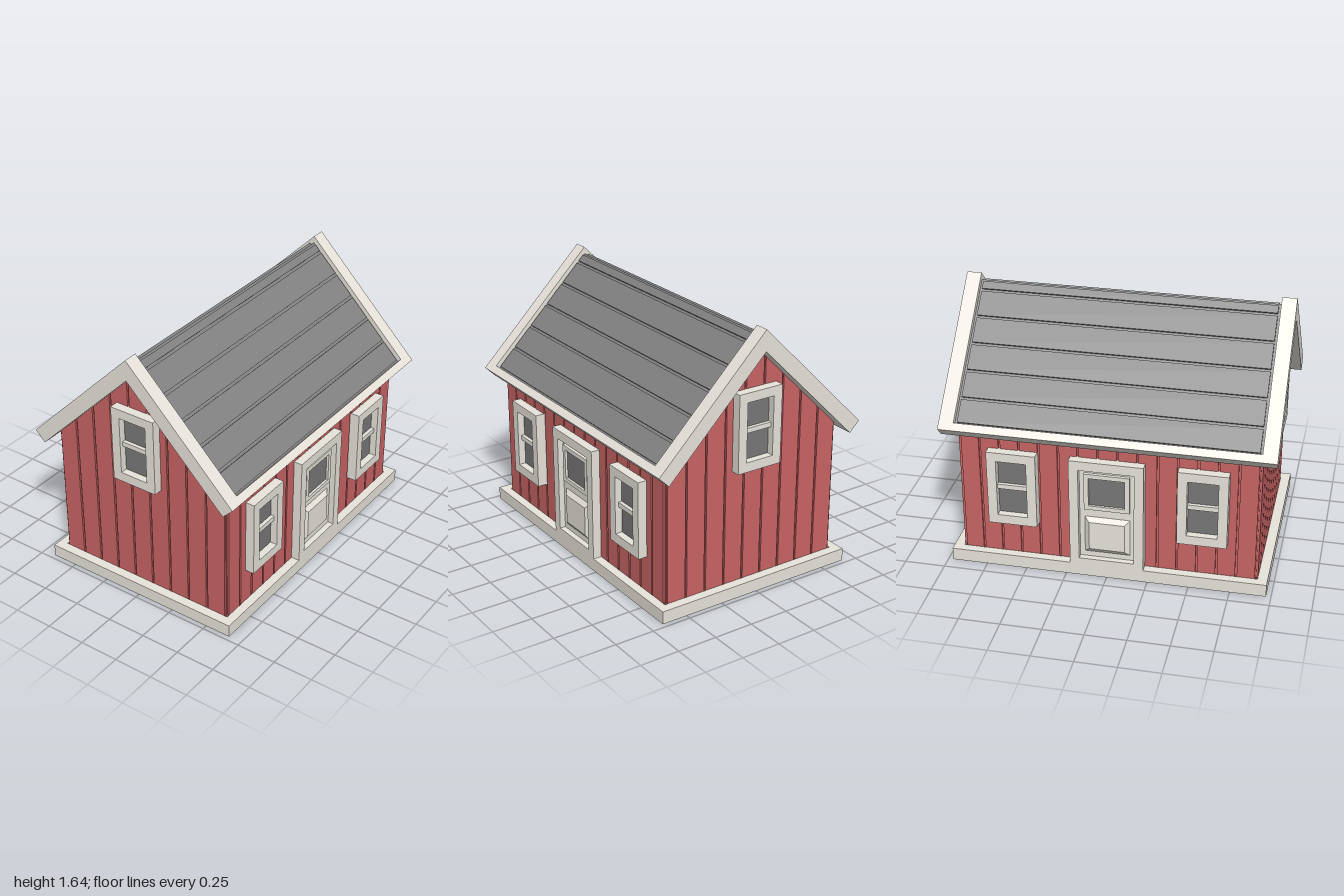
import * as THREE from 'three';

const mat = (color) => new THREE.MeshStandardMaterial({ color, flatShading: true });

export function createModel() {
  const house = new THREE.Group();
  house.name = 'house';
  const red = mat(0xc96464), trim = mat(0xe8e4dc), roofGrey = mat(0x828282), glass = mat(0x787878);

  const add = (parent, name, geo, material) => {
    const mesh = new THREE.Mesh(geo, material);
    mesh.name = name;
    parent.add(mesh);
    return mesh;
  };
  const rect = (x0, y0, x1, y1) => [[x0, y0], [x1, y0], [x1, y1], [x0, y1]].map((p) => new THREE.Vector2(...p));
  // Box given by its limits
  const box = (x0, x1, y0, y1, z0, z1) =>
    new THREE.BoxGeometry(x1 - x0, y1 - y0, z1 - z0).translate((x0 + x1) / 2, (y0 + y1) / 2, (z0 + z1) / 2);
  // Rectangular frame with a rectangular opening, extruded along z
  const frame = (outer, inner, z0, z1) => {
    const shape = new THREE.Shape(rect(...outer));
    shape.holes.push(new THREE.Path(rect(...inner)));
    return new THREE.ExtrudeGeometry(shape, { depth: z1 - z0, bevelEnabled: false }).translate(0, 0, z0);
  };
  // Profile of [z, y] points, extruded along x
  const prismX = (points, x0, x1) => {
    const shape = new THREE.Shape(points.map(([z, y]) => new THREE.Vector2(-z, y)));
    return new THREE.ExtrudeGeometry(shape, { depth: x1 - x0, bevelEnabled: false })
      .rotateY(Math.PI / 2).translate(x0, 0, 0);
  };

  // Foundation ring and floor
  add(house, 'foundation', frame([-0.97, -0.665, 0.97, 0.665], [-0.91, -0.61, 0.91, 0.61], 0, 0.08).rotateX(-Math.PI / 2), trim);
  add(house, 'floor', box(-0.91, 0.91, 0.01, 0.03, -0.61, 0.61), glass);

  // Inner wall body, set back so that the gaps between boards read as grooves
  const X = 0.91, Z = 0.61, inset = 0.012, gap = 0.012, peak = 1.515;
  const zi = Z - inset, xi = X - inset;
  add(house, 'wallCore', prismX([[-zi, 0.03], [zi, 0.03], [zi, peak - zi], [0, peak], [-zi, peak - zi]], -xi, xi), red);

  // Boards on the long walls
  const longCount = 15, longStep = (2 * xi) / longCount;
  for (const side of [-1, 1]) {
    for (let i = 0; i < longCount; i++) {
      const x0 = -xi + i * longStep + gap / 2;
      const z = [side * zi, side * Z].sort((a, b) => a - b);
      add(house, 'longWallBoard', box(x0, x0 + longStep - gap, 0.08, peak - Z, ...z), red);
    }
    // Boards on the gable walls, cut to the roof slope
    const count = 9, step = (2 * zi) / count;
    for (let i = 0; i < count; i++) {
      const a = -zi + i * step + gap / 2, b = a + step - gap;
      const top = [[b, peak - Math.abs(b)]];
      if (a < 0 && b > 0) top.push([0, peak]);
      top.push([a, peak - Math.abs(a)]);
      const x = [side * xi, side * X].sort((p, q) => p - q);
      add(house, 'gableBoard', prismX([[a, 0.08], [b, 0.08], ...top], ...x), red);
    }
  }

  // Roof: recessed deck, roof boards and a raised border
  const roof = new THREE.Group();
  roof.name = 'roof';
  house.add(roof);
  const chevron = (top, zTop, bottom, zBottom) => [
    [0, top], [zTop, top - zTop], [zBottom, bottom - zBottom],
    [0, bottom], [-zBottom, bottom - zBottom], [-zTop, top - zTop],
  ];
  add(roof, 'roofDeck', prismX(chevron(1.6, 0.6525, peak, 0.61), -X, X), roofGrey);
  add(roof, 'gableTrimLeft', prismX(chevron(1.645, 0.71, peak, 0.645), X, 1), trim);
  add(roof, 'gableTrimRight', prismX(chevron(1.645, 0.71, peak, 0.645), -1, -X), trim);
  for (const side of [-1, 1]) {
    const mirrored = (pts) => pts.map(([z, y]) => [side * z, y]);
    add(roof, 'eaveTrim', prismX(mirrored([[0.71, 0.935], [0.645, 0.87], [0.61, 0.905], [0.675, 0.97]]), -X, X), trim);
    const cuts = [0.014, 0.06, 0.182, 0.304, 0.426, 0.548, 0.66];
    for (let i = 0; i < cuts.length - 1; i++) {
      const a = cuts[i] + 0.006, b = cuts[i + 1] - 0.006;
      add(roof, 'roofBoard', prismX(mirrored([
        [a, 1.62 - a], [b, 1.62 - b], [b - 0.01, 1.61 - b], [a - 0.01, 1.61 - a],
      ]), -0.895, 0.895), roofGrey);
    }
  }

  // Window with frame, crossbar and pane; z = 0 lies on the wall, origin at the sill
  const makeWindow = (name) => {
    const win = new THREE.Group();
    win.name = name;
    add(win, 'windowFrame', frame([-0.15, 0, 0.15, 0.485], [-0.092, 0.06, 0.092, 0.427], -0.01, 0.057), trim);
    add(win, 'windowBar', box(-0.092, 0.092, 0.23, 0.26, 0, 0.035), trim);
    add(win, 'windowPane', box(-0.092, 0.092, 0.06, 0.427, -0.01, 0.012), glass);
    return win;
  };

  // Door with frame, glazed upper part and bevelled lower panel
  const makeDoor = () => {
    const door = new THREE.Group();
    door.name = 'door';
    add(door, 'doorFrame', frame([-0.225, 0.08, 0.225, 0.79], [-0.168, 0.12, 0.168, 0.73], -0.01, 0.055), trim);
    add(door, 'doorLeaf', box(-0.168, 0.168, 0.12, 0.73, -0.01, 0.018), trim);
    add(door, 'doorWindowFrame', frame([-0.138, 0.458, 0.138, 0.7], [-0.11, 0.485, 0.11, 0.672], 0.01, 0.038), trim);
    add(door, 'doorPane', box(-0.11, 0.11, 0.485, 0.672, 0.01, 0.023), glass);
    const panel = new THREE.ExtrudeGeometry(new THREE.Shape(rect(-0.108, 0.185, 0.108, 0.37)), {
      depth: 0.002, bevelSize: 0.03, bevelThickness: 0.022, bevelSegments: 1,
    });
    add(door, 'doorPanel', panel.translate(0, 0, 0.016), trim);
    return door;
  };

  // Matching front and back openings
  for (const turn of [0, Math.PI]) {
    const face = new THREE.Group();
    face.name = turn ? 'backOpenings' : 'frontOpenings';
    face.rotation.y = turn;
    const door = makeDoor();
    door.position.z = Z;
    face.add(door);
    for (const side of [-1, 1]) {
      const win = makeWindow('wallWindow');
      win.position.set(side * 0.575, 0.305, Z);
      face.add(win);
    }
    house.add(face);
  }

  // Gable windows
  for (const side of [-1, 1]) {
    const win = makeWindow('gableWindow');
    win.position.set(side * X, 0.795, 0);
    win.rotation.y = side * Math.PI / 2;
    house.add(win);
  }

  return house;
}
